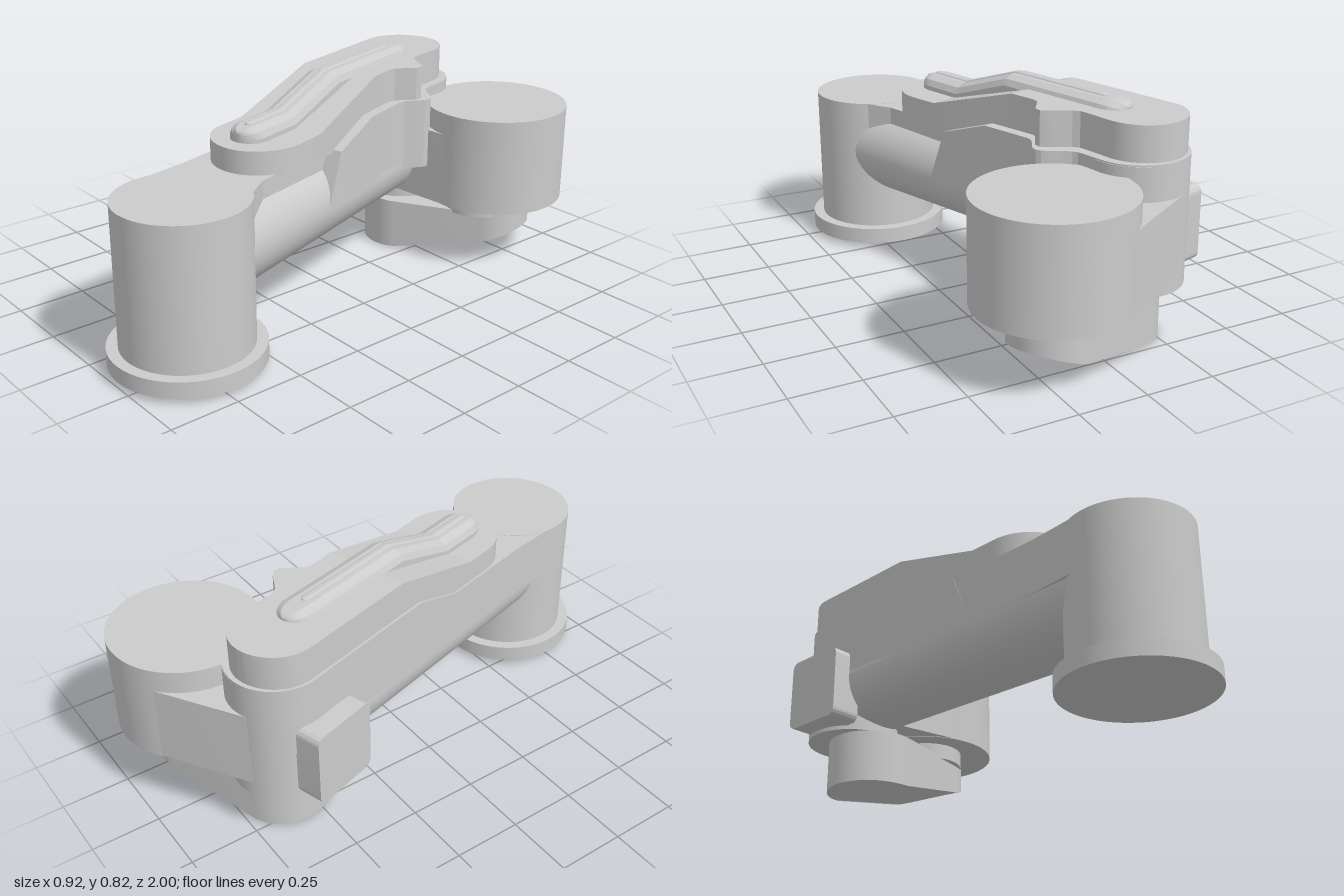
import * as THREE from 'three';
import { toCreasedNormals } from 'three/addons/utils/BufferGeometryUtils.js';

const material = new THREE.MeshStandardMaterial({ color: 0xcccccc });

function add(parent, name, geometry, x = 0, y = 0, z = 0) {
  const mesh = new THREE.Mesh(geometry, material);
  mesh.name = name;
  mesh.position.set(x, y, z);
  parent.add(mesh);
  return mesh;
}

// Upright cylinder between two heights
function post(parent, name, x, z, r, y0, y1) {
  return add(parent, name, new THREE.CylinderGeometry(r, r, y1 - y0, 72), x, (y0 + y1) / 2, z);
}

// Smooth or straight interpolation through [position, value] pairs, positions descending
function along(table, z, smooth = false) {
  if (z >= table[0][0]) return table[0][1];
  for (let i = 1; i < table.length; i++) {
    const [z0, v0] = table[i - 1], [z1, v1] = table[i];
    if (z >= z1) {
      let t = (z - z0) / (z1 - z0);
      if (smooth) t = t * t * (3 - 2 * t);
      return v0 + (v1 - v0) * t;
    }
  }
  return table[table.length - 1][1];
}

// Positions along the arm, dense at both ends, with exact bends
function stations(front, back, bends, n = 72) {
  const zs = [...bends];
  for (let i = 0; i <= n; i++) {
    zs.push((front + back) / 2 + ((front - back) / 2) * Math.cos((Math.PI * i) / n));
  }
  return zs.sort((a, b) => b - a).filter((z, i, all) => i === 0 || all[i - 1] - z > 1e-4);
}

// Closed solid through rings of [x, y, z?], counter-clockwise from the front
function loft(zs, ring) {
  const rings = zs.map((z) => ring(z).map(([x, y, pz = z]) => [x, y, pz]));
  const m = rings[0].length, index = [], last = (rings.length - 1) * m;
  for (let i = 0; i < rings.length - 1; i++) {
    for (let j = 0; j < m; j++) {
      const a = i * m + j, b = i * m + ((j + 1) % m);
      index.push(a, a + m, b, b, a + m, b + m);
    }
  }
  for (let j = 1; j < m - 1; j++) {
    index.push(0, j, j + 1, last, last + j + 1, last + j);
  }
  const geometry = new THREE.BufferGeometry();
  geometry.setAttribute('position', new THREE.Float32BufferAttribute(rings.flat(2), 3));
  geometry.setIndex(index);
  return toCreasedNormals(geometry, 0.25);
}

// Width factor that rounds an end off into an arc of radius r
function roundEnd(z, front, back, rFront, rBack) {
  const arc = (d, r) => (d >= r ? 1 : Math.sqrt(Math.max(0.0004, 1 - ((r - d) / r) ** 2)));
  return (rFront ? arc(front - z, rFront) : 1) * (rBack ? arc(z - back, rBack) : 1);
}

// Plate shaped like a belt around two circles [x, z, r]
function belt(a, b, y0, y1) {
  const [ax, az, ar] = a, [bx, bz, br] = b;
  const dx = bx - ax, dy = az - bz;
  const phi = Math.atan2(dy, dx), beta = Math.acos((ar - br) / Math.hypot(dx, dy));
  const points = [];
  const arc = (x, z, r, from, to) => {
    for (let i = 0; i <= 36; i++) {
      const t = from + ((to - from) * i) / 36;
      points.push(new THREE.Vector2(x + r * Math.cos(t), -z + r * Math.sin(t)));
    }
  };
  arc(bx, bz, br, phi - beta, phi + beta);
  arc(ax, az, ar, phi + beta, phi - beta + 2 * Math.PI);
  const geometry = new THREE.ExtrudeGeometry(new THREE.Shape(points), { depth: y1 - y0, bevelEnabled: false });
  return geometry.rotateX(-Math.PI / 2).translate(0, y0, 0);
}

export function createModel() {
  const model = new THREE.Group();
  model.name = 'jointedArm';

  // Front post and its foot flange
  post(model, 'frontPost', 0.19, 0.73, 0.23, 0.03, 0.592);
  post(model, 'footFlange', 0.19, 0.73, 0.27, 0.02, 0.08);

  // Rear drum, its link to the elbow and the neck below
  post(model, 'rearDrum', 0.19, -0.73, 0.27, 0.25, 0.618);
  add(model, 'elbowLink', toCreasedNormals(belt([0.19, -0.73, 0.268], [-0.2, -0.6, 0.174], 0.252, 0.535), 0.5));
  post(model, 'drumNeck', 0.17, -0.68, 0.14, 0.19, 0.26);
  post(model, 'elbow', -0.2, -0.6, 0.175, 0.2, 0.655);

  // Lower pad, its underside curving up towards the drum
  const pad = belt([-0.13, -0.57, 0.17], [0.19, -0.73, 0.15], 0, 0.2);
  const p = pad.attributes.position;
  for (let i = 0; i < p.count; i++) {
    if (p.getY(i) < 0.01) {
      const s = (p.getX(i) + 0.13) * 0.89 - (p.getZ(i) + 0.57) * 0.45;
      p.setY(i, 0.11 * (Math.max(0, s + 0.1) / 0.55) ** 2);
    }
  }
  add(model, 'lowerPad', toCreasedNormals(pad, 0.5));

  // Everything below lies along the slanted arm, from the post at z = 0 back to the elbow
  const arm = new THREE.Group();
  arm.name = 'arm';
  arm.position.set(0.19, 0, 0.73);
  arm.rotation.y = 0.287;
  model.add(arm);

  // Round arm tube, flattened slightly in height
  const tube = new THREE.CylinderGeometry(0.2, 0.175, 1.386, 64).rotateX(Math.PI / 2);
  add(arm, 'armTube', tube, 0, 0.392, -0.693).scale.y = 0.91;

  // Flat deck joining the post to the raised block
  add(arm, 'deck', loft([0, -0.12, -0.26, -0.5, -0.72], (z) => {
    const right = along([[0, 0.22], [-0.26, 0.128]], z);
    const left = along([[0, -0.222], [-0.26, -0.198], [-0.72, -0.185]], z);
    return [[left, 0.39], [right, 0.39], [right, 0.591], [left, 0.591]];
  }));

  // Raised block with a ramp and a shoulder beside the drum
  const blockTop = [[-0.64, 0.591], [-0.85, 0.66]];
  const blockRight = [[-0.6, 0.19], [-1.06, 0.18], [-1.16, 0.25], [-1.28, 0.17], [-1.4, 0.175]];
  const blockLeft = [[-0.6, 0.19], [-1.3, 0.175]];
  add(arm, 'raisedBlock', loft(stations(-0.64, -1.561, [-0.85]), (z) => {
    const f = roundEnd(z, -0.64, -1.561, 0, 0.175);
    const r = along(blockRight, z, true) * f, l = -along(blockLeft, z) * f;
    const top = along(blockTop, z);
    const low = z > -0.641 ? z + 0.08 : z;
    return [[l, 0.39, low], [r, 0.39, low], [r, top], [l, top]];
  }));

  // Stepped cover plate following the block
  const coverTop = [[-0.55, 0.675], [-0.94, 0.785]];
  const coverRight = [[-0.46, 0.165], [-1.05, 0.145], [-1.14, 0.225], [-1.25, 0.135], [-1.4, 0.145]];
  const coverLeft = [[-0.4, 0.18], [-1.4, 0.16]];
  add(arm, 'coverPlate', loft(stations(-0.26, -1.545, [-0.55, -0.64, -0.85, -0.94]), (z) => {
    const f = roundEnd(z, -0.26, -1.545, 0.18, 0.15);
    const r = along(coverRight, z, true) * f - 0.005, l = -along(coverLeft, z) * f - 0.005;
    const top = along(coverTop, z), bottom = along(blockTop, z) - 0.01;
    return [[l, bottom], [r, bottom], [r, top], [l, top]];
  }));

  // Chamfered rib on the cover, with a thin ridge along its middle
  const ribTop = [[-0.56, 0.727], [-0.82, 0.812]];
  const rib = (name, front, back, w, rise, depth) =>
    add(arm, name, loft(stations(front, back, [-0.56, -0.82], 36), (z) => {
      const f = roundEnd(z, front, back, w, w);
      const a = w * f, top = along(ribTop, z) + rise - (1 - f) * depth * 0.25;
      const x = along([[-0.33, -0.022], [-1.33, 0]], z);
      const base = top - depth;
      return [[x - a, base], [x + a, base], [x + a, top - depth * 0.4], [x + a * 0.85, top - depth * 0.15],
        [x + a * 0.45, top], [x - a * 0.45, top], [x - a * 0.85, top - depth * 0.15], [x - a, top - depth * 0.4]];
    }));
  rib('topRib', -0.325, -1.345, 0.072, 0, 0.09);
  rib('ribRidge', -0.37, -1.25, 0.016, 0.006, 0.02);

  // Side button: rounded plate on the outer face near the elbow
  const h = 0.13, v = 0.14, c = 0.03;
  const plate = new THREE.Shape();
  plate.moveTo(-h + c, -v).lineTo(h - c, -v);
  plate.absarc(h - c, -v + c, c, -Math.PI / 2, 0);
  plate.absarc(h - c, v - c, c, 0, Math.PI / 2);
  plate.absarc(-h + c, v - c, c, Math.PI / 2, Math.PI);
  plate.absarc(-h + c, -v + c, c, Math.PI, Math.PI * 1.5);
  const button = new THREE.ExtrudeGeometry(plate, { depth: 0.12, bevelEnabled: false, curveSegments: 10 });
  button.rotateY(-Math.PI / 2);
  add(arm, 'sideButton', toCreasedNormals(button, 0.5), -0.128, 0.355, -1.343);

  return model;
}
